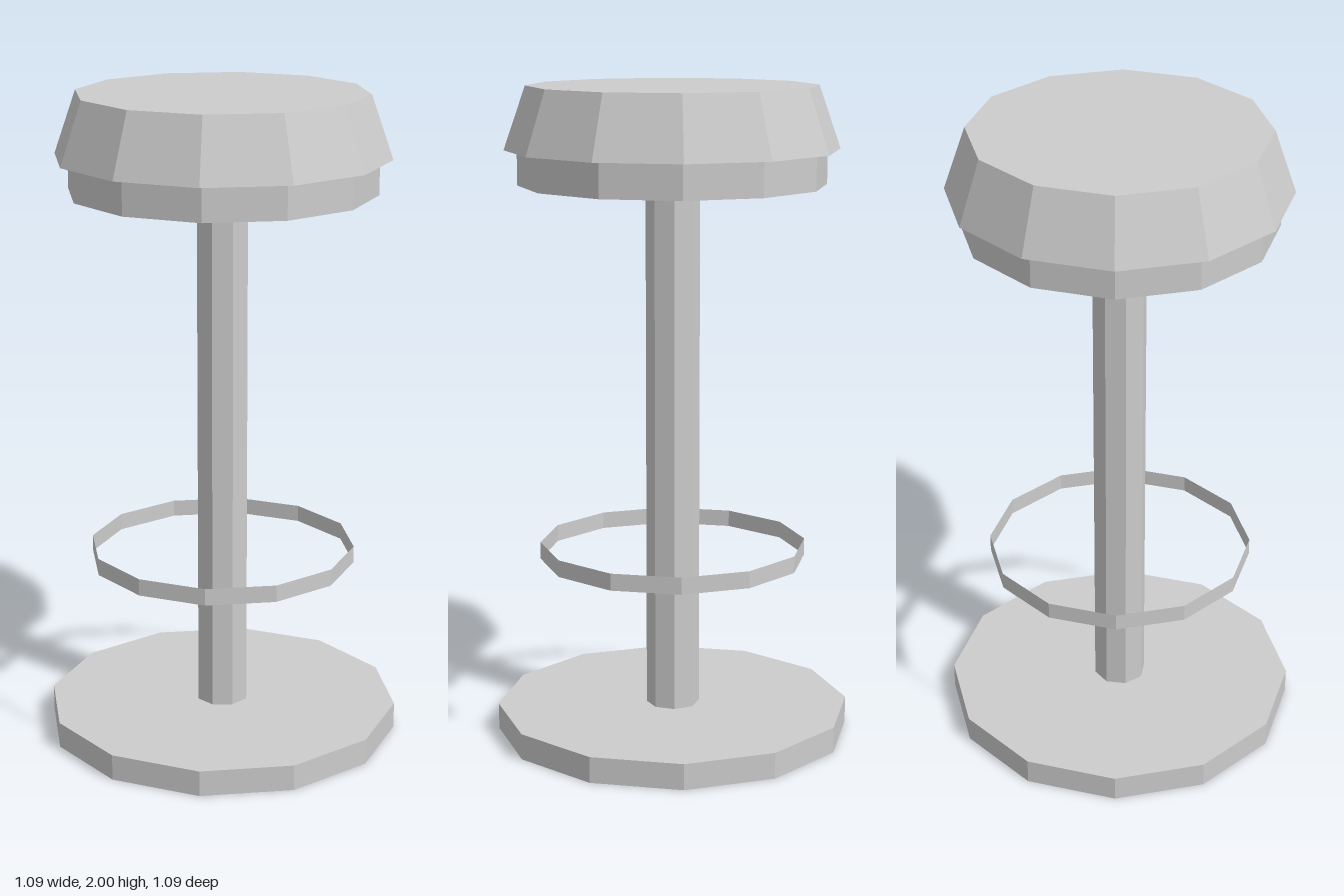
import * as THREE from 'three';

export function createModel() {
  const stool = new THREE.Group();
  stool.name = 'barStool';

  const grey = new THREE.MeshStandardMaterial({ color: 0xcccccc, flatShading: true });
  grey.name = 'light grey';
  const greyBand = new THREE.MeshStandardMaterial({ color: 0xcccccc, flatShading: true, side: THREE.DoubleSide });
  greyBand.name = 'light grey band';

  // Faceted round part standing between two heights
  function addRound(name, topRadius, bottomRadius, y0, y1, sides = 12, open = false) {
    const geometry = new THREE.CylinderGeometry(topRadius, bottomRadius, y1 - y0, sides, 1, open);
    const mesh = new THREE.Mesh(geometry, open ? greyBand : grey);
    mesh.name = name;
    mesh.position.y = (y0 + y1) / 2;
    stool.add(mesh);
  }

  addRound('base', 0.547, 0.547, 0, 0.08);
  addRound('column', 0.082, 0.082, 0.08, 1.705, 8);
  addRound('footRing', 0.41, 0.41, 0.55, 0.602, 12, true); // thin open band
  addRound('seatPan', 0.465, 0.465, 1.705, 1.81);
  addRound('cushion', 0.438, 0.504, 1.81, 2); // tapers towards the top

  return stool;
}
